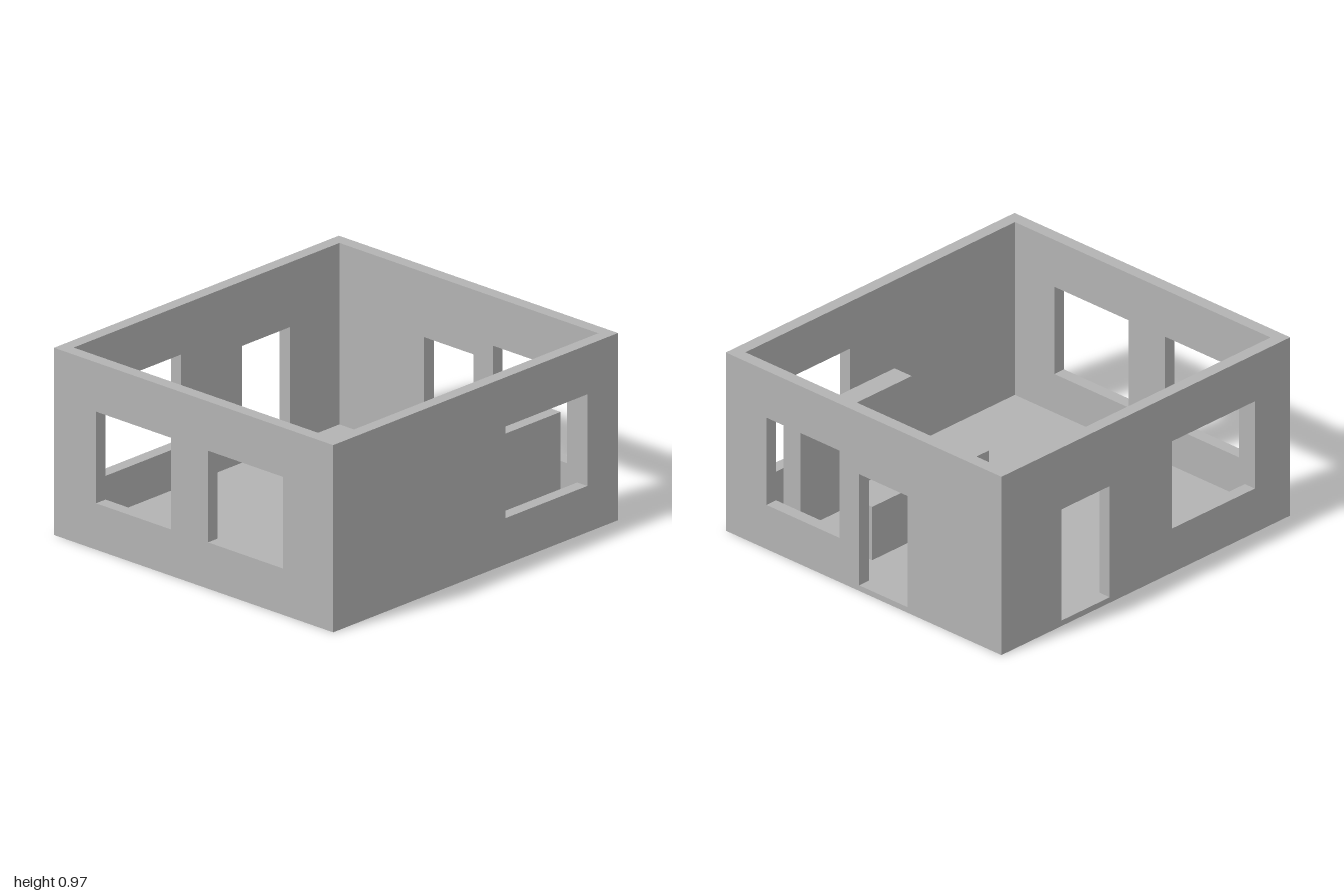
import * as THREE from 'three';

const WIDTH = 2, DEPTH = 1.845, HEIGHT = 0.97, FLOOR = 0.03, WALL = 0.067;
const SILL = 0.24, WINDOW_TOP = 0.715, DOOR_TOP = 0.635;

export function createModel() {
  const model = new THREE.Group();
  model.name = 'roomShell';
  const grey = new THREE.MeshStandardMaterial({ color: 0xb2b2b2 });
  grey.name = 'plainGrey';

  function add(name, geometry) {
    const mesh = new THREE.Mesh(geometry, grey);
    mesh.name = name;
    model.add(mesh);
    return mesh;
  }

  // Axis-aligned block given by its limits
  function block(name, x0, x1, y0, y1, z0, z1) {
    add(name, new THREE.BoxGeometry(x1 - x0, y1 - y0, z1 - z0))
      .position.set((x0 + x1) / 2, (y0 + y1) / 2, (z0 + z1) / 2);
  }

  // Upright wall with window holes and an optional doorway notched from the floor
  function wall(name, length, windows, door) {
    const h = length / 2;
    const outline = [[-h, FLOOR]];
    if (door) {
      const [a, b] = door;
      outline.push([a, FLOOR], [a, DOOR_TOP], [b, DOOR_TOP], [b, FLOOR]);
    }
    outline.push([h, FLOOR], [h, HEIGHT], [-h, HEIGHT]);
    const shape = new THREE.Shape(outline.map(([x, y]) => new THREE.Vector2(x, y)));
    for (const [a, b] of windows) {
      shape.holes.push(new THREE.Path([
        new THREE.Vector2(a, SILL), new THREE.Vector2(a, WINDOW_TOP),
        new THREE.Vector2(b, WINDOW_TOP), new THREE.Vector2(b, SILL),
      ]));
    }
    return add(name, new THREE.ExtrudeGeometry(shape, { depth: WALL, bevelEnabled: false }));
  }

  // Floor slab
  block('floor', -WIDTH / 2, WIDTH / 2, 0, FLOOR, -DEPTH / 2, DEPTH / 2);

  // Front and back walls
  wall('frontWall', WIDTH, [[0.21, 0.785]]).position.z = DEPTH / 2 - WALL;
  wall('backWall', WIDTH, [[-0.755, -0.18]], [0.25, 0.585]).position.z = -DEPTH / 2;

  // Side walls fit between them; their local x runs towards -z
  const sideLength = DEPTH - 2 * WALL;
  const sides = [
    wall('doorSideWall', sideLength, [[-0.65, -0.16]], [-0.03, 0.295]),
    wall('windowSideWall', sideLength, [[-0.592, -0.095], [0.148, 0.645]]),
  ];
  sides.forEach((side) => { side.rotation.y = Math.PI / 2; });
  sides[0].position.x = WIDTH / 2 - WALL;
  sides[1].position.x = -WIDTH / 2;

  // Tall counter behind the front window, and a low bench
  block('counter', 0.015, 0.785, FLOOR, 0.575, 0.63, 0.745);
  block('bench', -0.04, 0.77, FLOOR, 0.32, 0.165, 0.365);

  return model;
}
